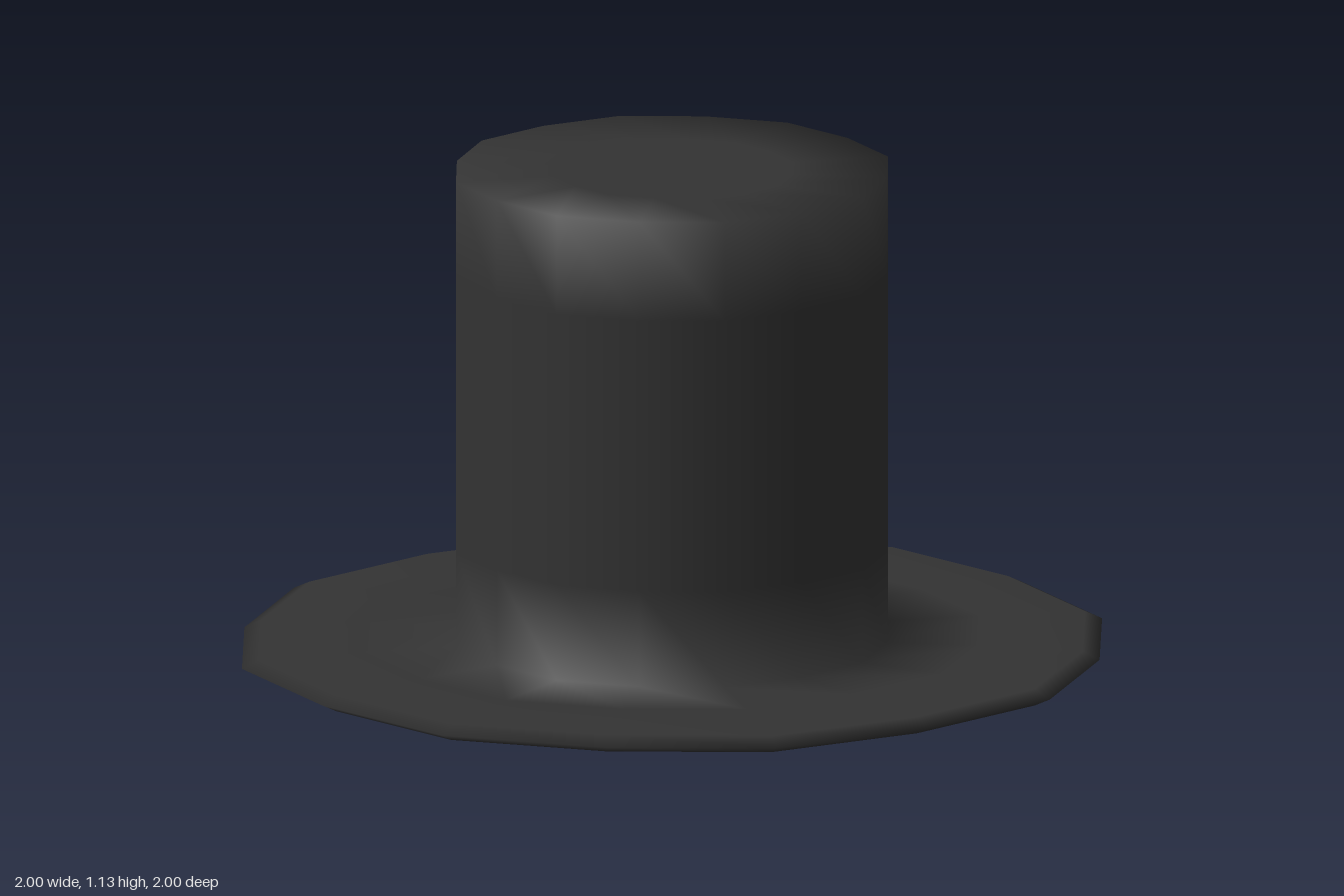
import * as THREE from 'three';

const SIDES = 16;

// One closed profile: inside of crown, underside of brim, brim edge, brim top, outside of crown
const PROFILE = [
  [0, 1.09], [0.26, 1.09], [0.475, 1.09], [0.475, 0.88], [0.475, 0.22], [0.475, 0.005], // lining 0-5
  [0.72, 0.003], [0.96, 0.006], [1, 0.025], [0.96, 0.044], [0.72, 0.047], [0.51, 0.048], // brim 5-11
  [0.51, 0.27], [0.51, 0.9], [0.51, 1.13], [0.28, 1.13], [0, 1.13], // crown 11-16
];

function hatSurface() {
  const points = PROFILE.map(([r, y]) => new THREE.Vector2(r, y));
  const geometry = new THREE.LatheGeometry(points, SIDES);
  const pos = geometry.attributes.position;
  // Every second side is pulled in a little, and the crown is slightly narrower in x
  for (let i = 0; i < pos.count; i++) {
    const column = Math.floor(i / PROFILE.length);
    const k = column % 2 ? 0.978 : 1;
    const narrow = PROFILE[i % PROFILE.length][0] < 0.6 ? 0.985 : 1;
    pos.setX(i, pos.getX(i) * k * narrow);
    pos.setZ(i, pos.getZ(i) * k);
  }
  return geometry;
}

// Keep only the bands between two profile points, so that parts share smooth normals
function bands(surface, from, to) {
  const geometry = surface.clone();
  const perSide = (PROFILE.length - 1) * 6;
  geometry.setIndex(Array.from(surface.index.array).filter((_, n) => {
    const band = Math.floor((n % perSide) / 6);
    return band >= from && band < to;
  }));
  return geometry;
}

export function createModel() {
  const hat = new THREE.Group();
  hat.name = 'topHat';
  const felt = new THREE.MeshStandardMaterial({ color: 0x333333 });
  felt.name = 'darkFelt';

  const surface = hatSurface();
  const parts = [['lining', 0, 5], ['brim', 5, 11], ['crown', 11, 16]];
  for (const [name, from, to] of parts) {
    const mesh = new THREE.Mesh(bands(surface, from, to), felt);
    mesh.name = name;
    hat.add(mesh);
  }
  return hat;
}
